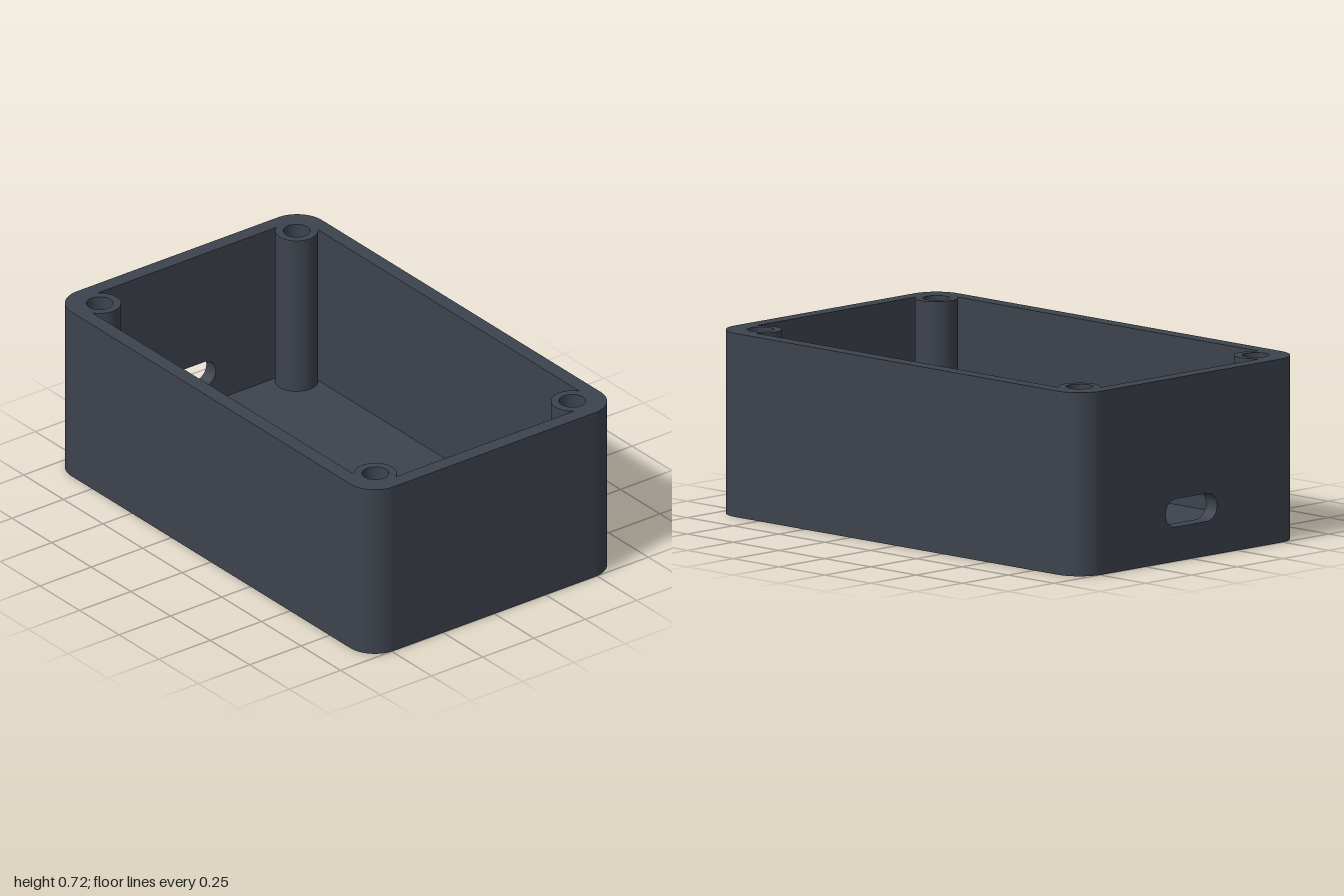
import * as THREE from 'three';

const H = 0.72, FLOOR = 0.06;            // overall height, floor level
const OX = 1, OZ = 0.61, CORNER = 0.12;  // outer half sizes and corner radius
const CX = 0.94, CZ = 0.55;              // cavity half sizes
const INSET = 0.07, POST_R = 0.083, SCREW_R = 0.052, SCREW_DEPTH = 0.4;
const PX = CX - INSET, PZ = CZ - INSET;  // screw post centres
const A = Math.acos(INSET / POST_R);     // angle at which a post meets the wall
const GAP = POST_R * Math.sin(A);
const SLOT = { y: 0.19, half: 0.14, r: 0.055 };
const Q = Math.PI / 2;

// Corners in plan, counter-clockwise (plan y is -z)
const corners = [[1, 1], [-1, 1], [-1, -1], [1, -1]];

function slotPath() {
  const p = new THREE.Path(), d = SLOT.half - SLOT.r;
  p.absarc(d, SLOT.y, SLOT.r, -Q, Q, false);
  p.absarc(-d, SLOT.y, SLOT.r, Q, 3 * Q, false);
  p.closePath();
  return p;
}

// Cavity outline, scooped in around the four posts
function cavityOutline(path) {
  corners.forEach(([sx, sy], k) =>
    path.absarc(sx * PX, sy * PZ, POST_R, -A + k * Q, Q + A + k * Q, true));
  path.closePath();
  return path;
}

// Upright flat panel facing +z before turning
function panelGeometry(halfWidth, y0, y1, withSlot) {
  const s = new THREE.Shape();
  s.moveTo(-halfWidth, y0).lineTo(halfWidth, y0).lineTo(halfWidth, y1).lineTo(-halfWidth, y1);
  s.closePath();
  if (withSlot) s.holes.push(slotPath());
  return new THREE.ShapeGeometry(s, 16);
}

export function createModel() {
  const model = new THREE.Group();
  const plastic = new THREE.MeshStandardMaterial({ color: 0x3d434d, side: THREE.DoubleSide });
  plastic.name = 'dark slate plastic';

  const add = (name, geometry, x = 0, y = 0, z = 0) => {
    const mesh = new THREE.Mesh(geometry, plastic);
    mesh.name = name;
    mesh.position.set(x, y, z);
    model.add(mesh);
    return mesh;
  };

  // Outer and inner wall panels; the -x wall has the cable slot
  const sides = [
    ['front', 0, 0, 1], ['left', Q, 1, 0], ['back', 2 * Q, 0, -1], ['right', -Q, -1, 0],
  ];
  for (const [name, turn, dx, dz] of sides) {
    const slotted = name === 'right';
    const outerHalf = dx ? OZ - CORNER : OX - CORNER;
    const innerHalf = dx ? PZ - GAP : PX - GAP;
    add(name + 'OuterWall', panelGeometry(outerHalf, 0, H, slotted), dx * OX, 0, dz * OZ)
      .rotation.y = turn;
    add(name + 'InnerWall', panelGeometry(innerHalf, FLOOR, H, slotted), dx * CX, 0, dz * CZ)
      .rotation.y = turn + Math.PI;
  }

  // Rounded corners, screw posts and screw holes
  corners.forEach(([sx, sy], k) => {
    const x = sx * PX, z = -sy * PZ;
    add('roundedCorner',
      new THREE.CylinderGeometry(CORNER, CORNER, H, 16, 1, true, Q + k * Q, Q),
      sx * (OX - CORNER), H / 2, -sy * (OZ - CORNER));
    add('screwPost',
      new THREE.CylinderGeometry(POST_R, POST_R, H - FLOOR, 32, 1, true, 2 * Q + A + k * Q, 3 * Q - 2 * A),
      x, (H + FLOOR) / 2, z);
    add('screwHole',
      new THREE.CylinderGeometry(SCREW_R, SCREW_R, SCREW_DEPTH, 28, 1, true),
      x, H - SCREW_DEPTH / 2, z);
    // The front left hole runs right through
    if (k !== 3) {
      const cap = new THREE.CircleGeometry(SCREW_R, 28).rotateX(-Q);
      add('screwHoleBottom', cap, x, H - SCREW_DEPTH, z);
    }
  });

  // Top rim with the cavity and screw holes cut out
  const rim = new THREE.Shape();
  corners.forEach(([sx, sy], k) =>
    rim.absarc(sx * (OX - CORNER), sy * (OZ - CORNER), CORNER, k * Q, (k + 1) * Q, false));
  rim.closePath();
  rim.holes.push(cavityOutline(new THREE.Path()));
  for (const [sx, sy] of corners) {
    const hole = new THREE.Path();
    hole.absarc(sx * PX, sy * PZ, SCREW_R, 0, 4 * Q, false);
    rim.holes.push(hole);
  }
  add('topRim', new THREE.ShapeGeometry(rim, 16).rotateX(-Q), 0, H, 0);

  // Floor, open beneath the posts
  const floor = cavityOutline(new THREE.Shape());
  add('floor', new THREE.ShapeGeometry(floor, 16).rotateX(-Q), 0, FLOOR, 0);

  // Lining of the cable slot through the wall
  const points = slotPath().getPoints(16);
  points.push(points[0].clone());
  const lining = new THREE.PlaneGeometry(1, 1, points.length - 1, 1);
  const pos = lining.attributes.position;
  for (let i = 0; i < pos.count; i++) {
    const p = points[i % points.length];
    pos.setXYZ(i, i < points.length ? -OX : -CX, p.y, p.x);
  }
  lining.computeVertexNormals();
  add('cableSlotLining', lining);

  return model;
}
